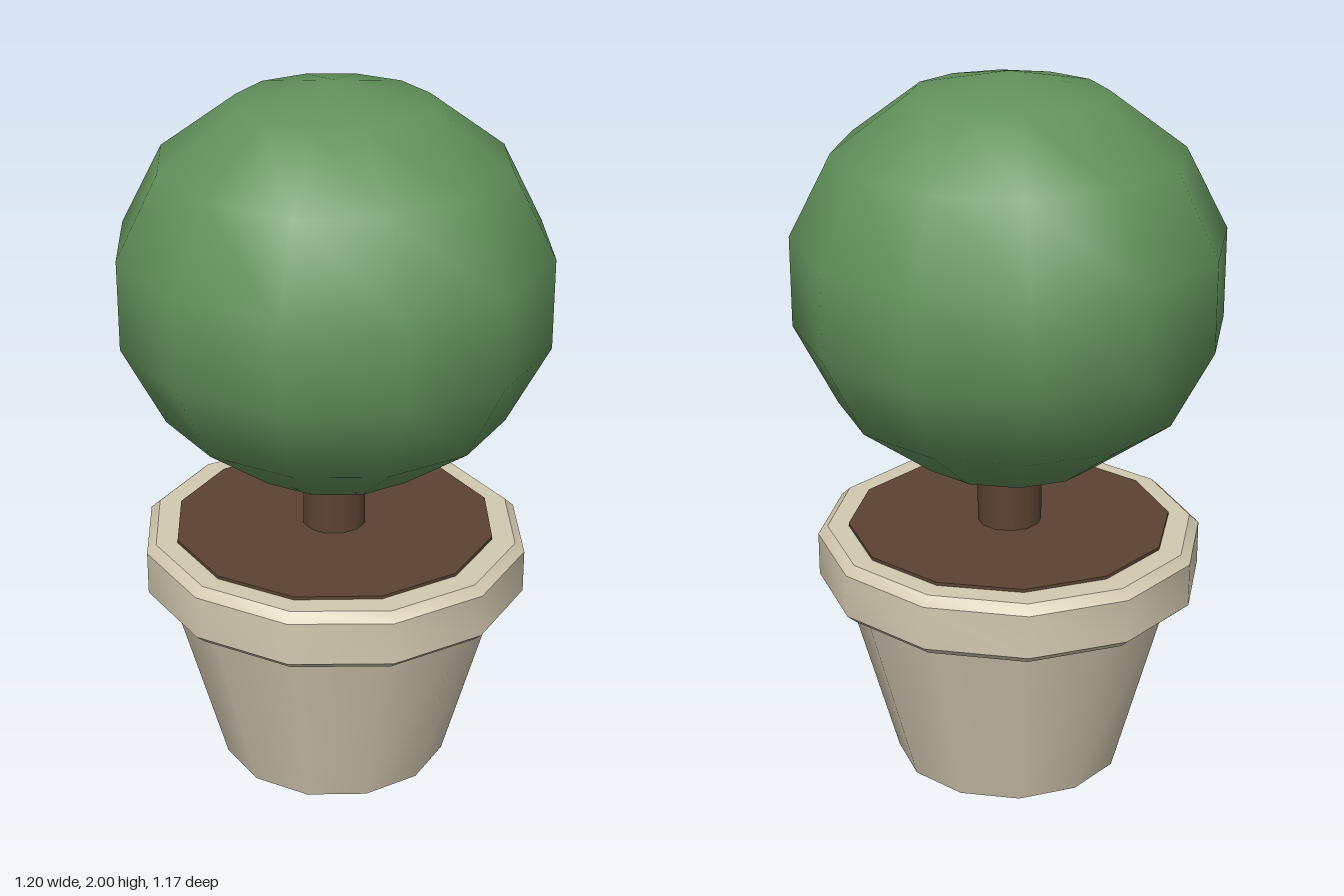
import * as THREE from 'three';
import { toCreasedNormals } from 'three/addons/utils/BufferGeometryUtils.js';

const SIDES = 12;

function material(name, color) {
  const m = new THREE.MeshStandardMaterial({ color });
  m.name = name;
  return m;
}

export function createModel() {
  const model = new THREE.Group();
  model.name = 'pottedTree';

  const clay = material('paleClay', 0xd3c9b1);
  const brown = material('earthBrown', 0x5b4333);
  const green = material('leafGreen', 0x62915b);

  const add = (name, geometry, mat, y) => {
    const mesh = new THREE.Mesh(geometry, mat);
    mesh.name = name;
    mesh.position.y = y;
    model.add(mesh);
    return mesh;
  };

  // Vertical cylinder between two heights
  const column = (name, rTop, rBottom, y0, y1, mat) =>
    add(name, new THREE.CylinderGeometry(rTop, rBottom, y1 - y0, SIDES), mat, (y0 + y1) / 2);

  // Tapered pot
  column('potBody', 0.48, 0.325, 0, 0.56, clay);

  // Chamfered rim, slightly narrower front to back
  const profile = [
    [0, 0.543], [0.523, 0.543], [0.55, 0.567], [0.55, 0.69], [0.523, 0.714], [0, 0.714],
  ].map(([r, y]) => new THREE.Vector2(r, y));
  const rim = add('potRim', toCreasedNormals(new THREE.LatheGeometry(profile, SIDES), 0.6), clay, 0);
  rim.scale.z = 0.977;

  // Soil disc and trunk
  column('soil', 0.454, 0.454, 0.69, 0.723, brown);
  column('trunk', 0.09, 0.09, 0.7, 1.1, brown);

  // Slightly squashed ball of leaves
  const foliage = add('foliage', new THREE.SphereGeometry(1, SIDES, 7), green, 1.4375);
  foliage.scale.set(0.615, 0.5625, 0.6);

  return model;
}
